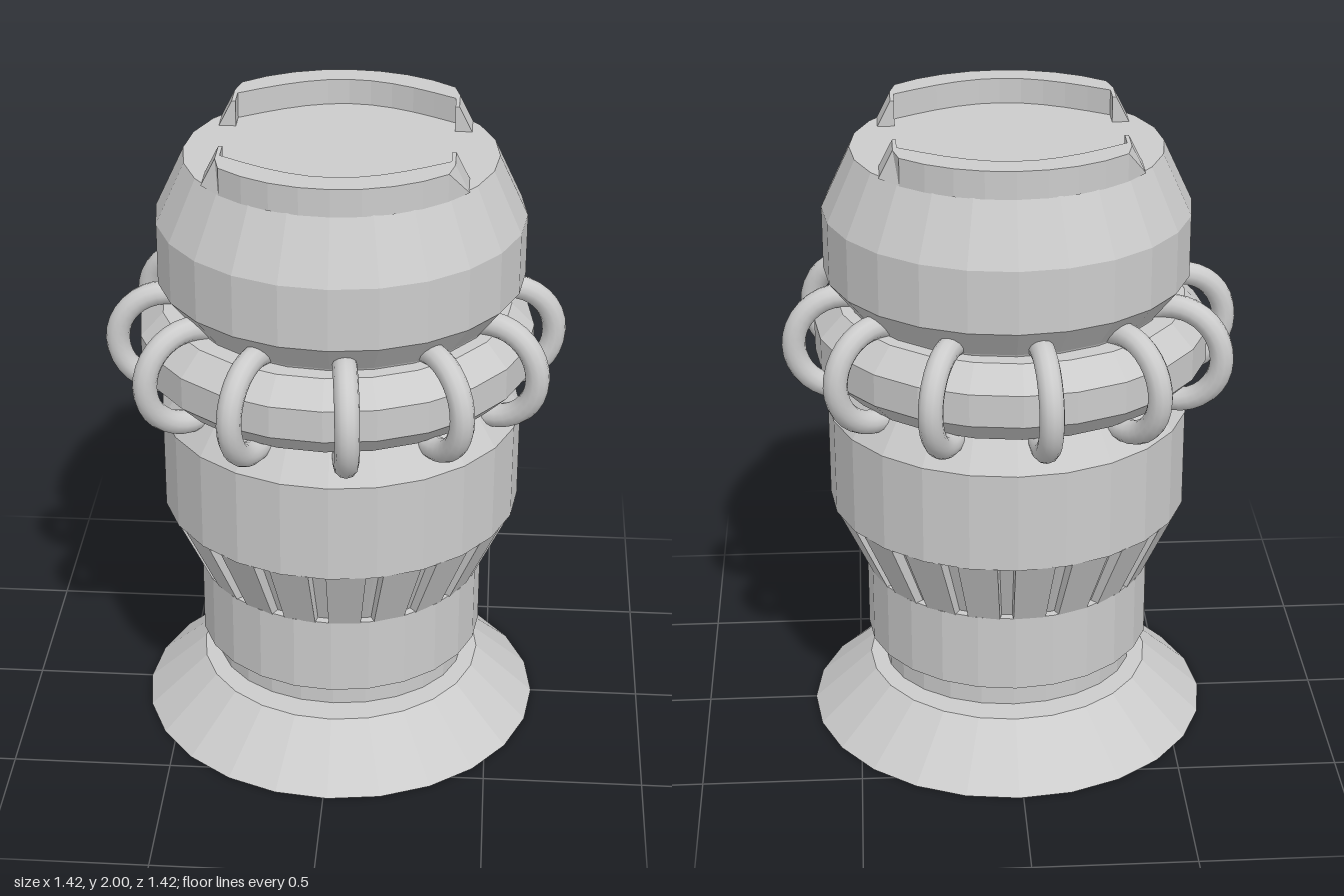
import * as THREE from 'three';

const SEG = 24;
const AXIS_X = 0.013; // the body sits slightly off the ring's centre

export function createModel() {
  const group = new THREE.Group();
  const flat = new THREE.MeshStandardMaterial({ color: 0xcccccc, flatShading: true, side: THREE.DoubleSide });
  const smooth = new THREE.MeshStandardMaterial({ color: 0xcccccc });

  const add = (name, geometry, material = flat, parent = group) => {
    const mesh = new THREE.Mesh(geometry, material);
    mesh.name = name;
    parent.add(mesh);
    return mesh;
  };
  const lathe = (points) => new THREE.LatheGeometry(points.map(([r, y]) => new THREE.Vector2(r, y)), SEG);
  const turned = (name, points) => {
    const mesh = add(name, lathe(points));
    mesh.position.x = AXIS_X;
    return mesh;
  };

  // Flared foot, oval neck and collar
  turned('base', [[0, 0], [0.637, 0], [0.45, 0.17], [0, 0.17]]);
  turned('neck', [[0.4, 0.16], [0.4, 0.3]]).scale.z = 0.9;
  turned('collar', [[0, 0.285], [0.453, 0.285], [0.453, 0.535], [0, 0.535]]);

  // Recessed core behind the slats
  turned('slatCore', [[0.425, 0.53], [0.53, 0.77]]);

  // Sloping slats, wider at the top
  const slats = new THREE.Group();
  slats.name = 'slats';
  slats.position.x = AXIS_X;
  group.add(slats);
  const SLATS = 20;
  for (let i = 0; i < SLATS; i++) {
    const geo = new THREE.BoxGeometry(1, 1, 1);
    const p = geo.attributes.position;
    for (let v = 0; v < p.count; v++) {
      const top = p.getY(v) > 0;
      const depth = p.getZ(v) > 0 ? 0 : 0.05;
      p.setXYZ(v, p.getX(v) * (top ? 0.122 : 0.1), top ? 0.767 : 0.533, (top ? 0.558 : 0.45) - depth);
    }
    geo.computeVertexNormals();
    add('slat', geo, flat, slats).rotation.y = ((i + 0.3) / SLATS) * Math.PI * 2;
  }

  // Barrel body with a waist for the ring
  turned('body', [
    [0.45, 0.765], [0.564, 0.765], [0.564, 1.08], [0.48, 1.2], [0.43, 1.31],
    [0.49, 1.44], [0.564, 1.535], [0.564, 1.73], [0.475, 1.92], [0, 1.92],
  ]);

  // Octagonal tube around the waist
  const tube = [];
  for (let i = 0; i <= 8; i++) {
    const a = ((i + 0.5) / 8) * Math.PI * 2;
    tube.push([0.488 + Math.cos(a) * 0.132, 1.312 + Math.sin(a) * 0.132]);
  }
  add('waistRing', lathe(tube.reverse()));

  // Loops hung around the tube
  const loops = new THREE.Group();
  loops.name = 'loops';
  group.add(loops);
  const loopGeo = new THREE.TorusGeometry(0.153, 0.037, 12, 32);
  for (let i = 0; i < 12; i++) {
    const holder = new THREE.Group();
    holder.name = 'loopHolder';
    holder.rotation.y = (i / 12) * Math.PI * 2 + 0.113;
    loops.add(holder);
    add('loop', loopGeo, smooth, holder).position.set(0.525, 1.312, 0);
  }

  // Two crescent lugs on the top, with ends leaning inwards
  const R = 0.478;
  const a0 = Math.acos(0.39 / R);
  const shape = new THREE.Shape();
  shape.moveTo(0.39, 0.18);
  for (let i = 0; i <= 10; i++) {
    const a = a0 + ((Math.PI - 2 * a0) * i) / 10;
    shape.lineTo(Math.cos(a) * R, Math.sin(a) * R);
  }
  shape.lineTo(-0.39, 0.18);
  shape.lineTo(-0.335, 0.18);
  for (let i = 0; i <= 10; i++) {
    const x = -0.335 + 0.067 * i;
    shape.lineTo(x, 0.25 + 0.14 * Math.cos((x / 0.335) * Math.PI / 2));
  }
  shape.lineTo(0.335, 0.18);
  shape.closePath();
  const lugGeo = new THREE.ExtrudeGeometry(shape, { depth: 0.085, bevelEnabled: false });
  const lp = lugGeo.attributes.position;
  for (let v = 0; v < lp.count; v++) {
    const x = lp.getX(v);
    if (lp.getZ(v) > 0.04 && Math.abs(x) > 0.34) lp.setX(v, Math.sign(x) * 0.347);
  }
  lugGeo.rotateX(-Math.PI / 2);
  lugGeo.computeVertexNormals();
  for (const turn of [0, Math.PI]) {
    const lug = add('topLug', lugGeo);
    lug.position.set(AXIS_X, 1.915, 0);
    lug.rotation.y = turn;
  }

  return group;
}
